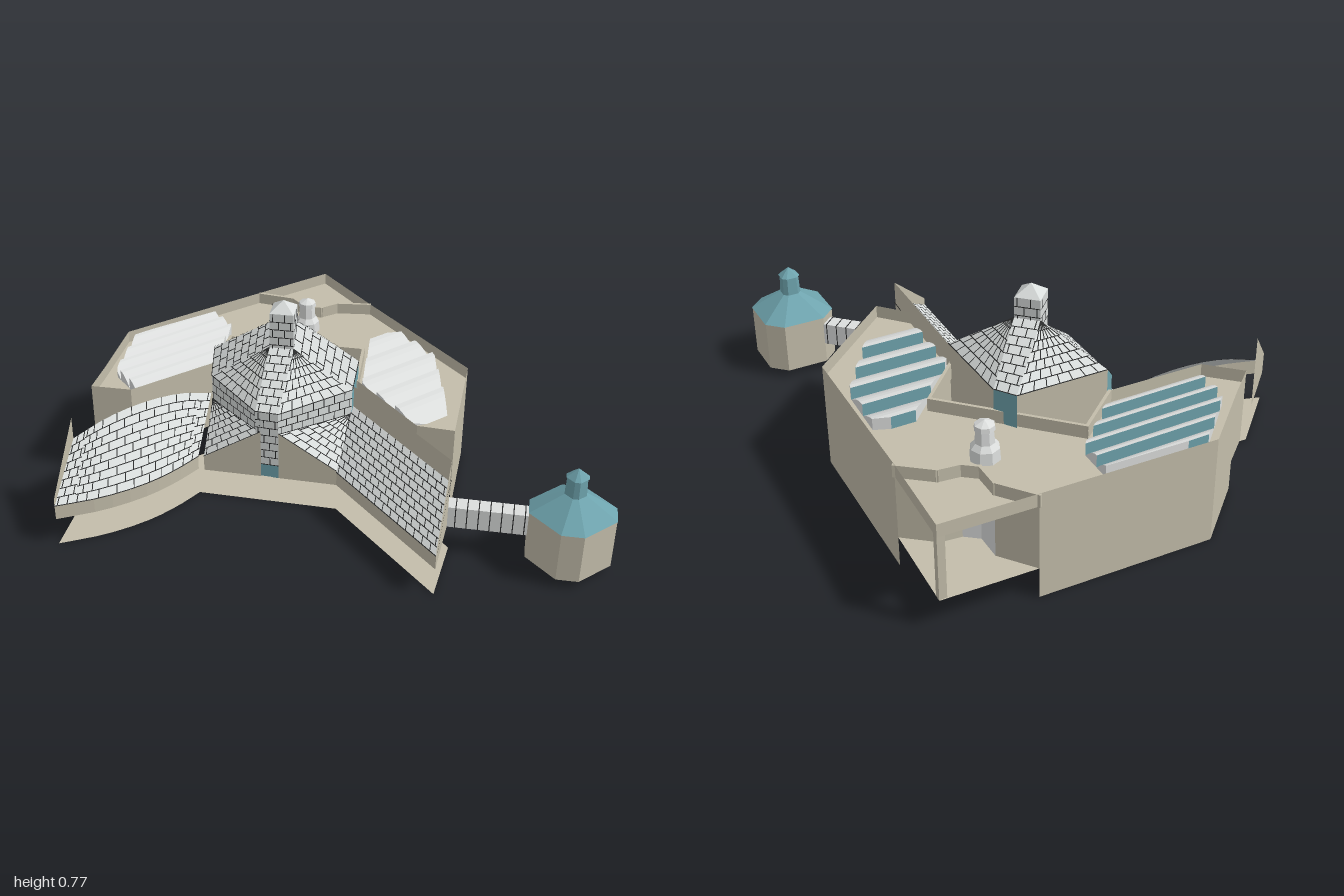
import * as THREE from 'three';

const mat = (name, color) => {
  const m = new THREE.MeshStandardMaterial({ color, side: THREE.DoubleSide, flatShading: true });
  m.name = name;
  return m;
};
const stone = mat('warm stone', 0xc3bdaa);
const slate = mat('pale tile', 0xd9dddc);
const joint = mat('dark joint', 0x2a2b2b);
const teal = mat('teal copper', 0x6ea3ad);
const white = mat('white metal', 0xdcdedd);

const V = (x, y, z) => new THREE.Vector3(x, y, z);
const xz = (p) => [p.x, p.z];

// Mesh made of four-cornered faces (corners counter-clockwise from outside)
function quads(list, material, name) {
  const pos = [];
  for (const [a, b, c, d] of list) for (const p of [a, b, c, a, c, d]) pos.push(p.x, p.y, p.z);
  const g = new THREE.BufferGeometry();
  g.setAttribute('position', new THREE.Float32BufferAttribute(pos, 3));
  g.computeVertexNormals();
  const m = new THREE.Mesh(g, material);
  m.name = name;
  return m;
}

// Horizontal plate from [x, z] corners
function plate(pts, y, material, name) {
  const s = new THREE.Shape(pts.map(([x, z]) => new THREE.Vector2(x, -z)));
  const m = new THREE.Mesh(new THREE.ShapeGeometry(s).rotateX(-Math.PI / 2), material);
  m.position.y = y;
  m.name = name;
  return m;
}

// Vertical wall between two [x, z] points; the top may slope
const wall = (p, q, y0, y1, y2 = y1) =>
  [V(p[0], y0, p[1]), V(q[0], y0, q[1]), V(q[0], y2, q[1]), V(p[0], y1, p[1])];

// Box-shaped beam between two [x, z] points
function beam(p, q, y0, y1, depth, material, name) {
  const m = new THREE.Mesh(new THREE.BoxGeometry(Math.hypot(q[0] - p[0], q[1] - p[1]) + depth, y1 - y0, depth), material);
  m.position.set((p[0] + q[0]) / 2, (y0 + y1) / 2, (p[1] + q[1]) / 2);
  m.rotation.y = -Math.atan2(q[1] - p[1], q[0] - p[0]);
  m.name = name;
  return m;
}

// Tiled faces with thin dark joints laid just above them
function tiled(faces, name) {
  const group = new THREE.Group(), cells = [], lines = [], n = 4;
  group.name = name;
  for (const [a, b, c, d] of faces) {
    const P = (u, v) => a.clone().lerp(b, u).lerp(d.clone().lerp(c, u), v);
    const normal = (u, v) => {
      const w = Math.min(v, 0.9);
      return P(1, w).sub(P(0, w)).cross(P(u, 1).sub(P(u, 0))).normalize();
    };
    const strip = (u0, v0, u1, v1) => {
      const p = P(u0, v0).addScaledVector(normal(u0, v0), 0.0025), q = P(u1, v1).addScaledVector(normal(u1, v1), 0.0025);
      const side = q.clone().sub(p).cross(normal(u0, v0));
      if (side.lengthSq() < 1e-10) return;
      side.setLength(0.0018);
      lines.push([p.clone().add(side), q.clone().add(side), q.clone().sub(side), p.clone().sub(side)]);
    };
    for (let i = 0; i < n * n; i++) {
      const u = (i % n) / n, v = Math.floor(i / n) / n, s = 1 / n;
      cells.push([P(u, v), P(u + s, v), P(u + s, v + s), P(u, v + s)]);
    }
    const nu = Math.max(1, Math.round(Math.max(a.distanceTo(b), d.distanceTo(c)) / 0.05));
    const nv = Math.max(2, Math.round(P(0.5, 0).distanceTo(P(0.5, 1)) / 0.036));
    for (let j = 0; j < nv; j++) {
      for (let i = 0; i < nu; i++) {
        const u = (i + (j % 2 ? 0.75 : 0.25)) / nu;
        strip(i / nu, j / nv, (i + 1) / nu, j / nv);
        strip(u, j / nv, u, (j + 1) / nv);
      }
    }
  }
  group.add(quads(cells, slate, name + 'Tiles'), quads(lines, joint, name + 'Joints'));
  return group;
}

// Loft through chamfered-square rings [halfWidth, y]
function chamferedTower(cx, cz, rings, material, name) {
  const loops = rings.map(([r, y]) => {
    const k = r * 0.58;
    return [[r, -k], [r, k], [k, r], [-k, r], [-r, k], [-r, -k], [-k, -r], [k, -r]].map(([x, z]) => V(cx + x, y, cz + z));
  });
  const list = [];
  for (let j = 0; j + 1 < loops.length; j++) {
    for (let i = 0; i < 8; i++) list.push([loops[j][(i + 1) % 8], loops[j][i], loops[j + 1][i], loops[j + 1][(i + 1) % 8]]);
  }
  return quads(list, material, name);
}

// Sawtooth skylight clipped to a convex outline, glazed toward the back
function skylight(outline, teeth, name) {
  const span = (z) => {
    const xs = [];
    outline.forEach(([x0, z0], i) => {
      const [x1, z1] = outline[(i + 1) % outline.length];
      if (z >= Math.min(z0, z1) && z <= Math.max(z0, z1) && z0 !== z1) xs.push(x0 + (x1 - x0) * (z - z0) / (z1 - z0));
    });
    return [Math.min(...xs), Math.max(...xs)];
  };
  const zs = outline.map((p) => p[1]);
  const z0 = Math.min(...zs) + 0.003, z1 = Math.max(...zs) - 0.003, step = (z1 - z0) / teeth;
  const glass = [], shell = [], base = 0.373, rise = 0.048, n = 5;
  for (let t = 0; t < teeth; t++) {
    const start = z0 + t * step, [l, r] = span(start);
    glass.push(wall([r, start], [l, start], base, base + rise));
    for (let i = 0; i < n; i++) {
      const [za, zb] = [i, i + 1].map((k) => Math.min(start + step * k / n, z1));
      const [ya, yb] = [i, i + 1].map((k) => base + rise * Math.cos(Math.PI / 2 * k / n));
      const [la, ra] = span(za), [lb, rb] = span(zb);
      shell.push([V(lb, yb, zb), V(rb, yb, zb), V(ra, ya, za), V(la, ya, za)]);
      shell.push(wall([la, za], [lb, zb], base, ya, yb), wall([rb, zb], [ra, za], base, yb, ya));
    }
  }
  const g = new THREE.Group();
  g.name = name;
  g.add(quads(shell, white, name + 'Shells'), quads(glass, teal, name + 'Glass'));
  return g;
}

export function createModel() {
  const model = new THREE.Group();

  // Main building: walls, porch lintel, floor, roof and courtyard parapet
  const o = [[0.38, 0.28], [0.475, 0.39], [0.825, 0.065], [0.84, -0.61], [0.855, -0.96], [0.505, -0.975], [-0.16, -1],
    [-0.39, -0.79], [-0.5, -0.695], [-0.385, -0.58], [0, -0.57], [0.18, -0.72], [0.575, -0.31], [0.395, -0.12]];
  const bottoms = [0.12, 0, 0, 0.37, 0.37, 0, 0, 0.12, 0.12, 0.12, 0.12, 0.12, 0.12, 0.12];
  model.add(quads(o.map((p, i) => wall(p, o[(i + 1) % o.length], bottoms[i], 0.42)), stone, 'mainWalls'));
  model.add(plate(o, 0.12, stone, 'mainFloor'), plate(o, 0.37, stone, 'mainRoof'));
  for (let i = 10; i < 13; i++) model.add(beam(o[i], o[i + 1], 0.36, 0.42, 0.012, stone, 'courtParapet'));

  // Corner porch: recessed wall and windows, roof curb and post
  const zig = [[0.505, -0.975], [0.6, -0.85], [0.6, -0.75], [0.65, -0.71], [0.73, -0.7], [0.84, -0.61]];
  for (let i = 0; i < 5; i++) {
    const pane = i === 1 || i === 2;
    model.add(quads([wall(zig[i], zig[i + 1], 0.12, 0.37)], pane ? white : stone, pane ? 'porchWindow' : 'porchWall'));
    model.add(beam(zig[i], zig[i + 1], 0.37, 0.418, 0.012, stone, 'porchCurb'));
  }
  model.add(beam([0.838, -0.945], [0.842, -0.945], 0.12, 0.37, 0.024, stone, 'porchPost'));

  // Skylights and roof vent
  model.add(skylight([[-0.145, -0.965], [0.245, -0.95], [0.24, -0.805], [0, -0.58], [-0.35, -0.595], [-0.345, -0.77]], 5, 'backSkylight'));
  model.add(skylight([[0.65, -0.36], [0.8, -0.355], [0.79, -0.105], [0.57, 0.24], [0.4, 0.235], [0.405, -0.1]], 5, 'sideSkylight'));
  const vent = new THREE.Mesh(new THREE.LatheGeometry(
    [[0.055, 0.37], [0.052, 0.415], [0.036, 0.435], [0.032, 0.485], [0.038, 0.486], [0.036, 0.503], [0, 0.52]]
      .map(([r, y]) => new THREE.Vector2(r, y)), 8), white);
  vent.position.set(0.533, 0, -0.655);
  vent.name = 'roofVent';
  model.add(vent);

  // Central hall, mirrored across the diagonal axis
  const mirror = (p) => {
    const k = 2 * ((p.x - 0.17) * 0.689 + (p.z + 0.31) * 0.725);
    return V(p.x - k * 0.689, p.y, p.z - k * 0.725);
  };
  const both = (faces) => [...faces, ...faces.map(([a, b, c, d]) => [b, a, d, c].map(mirror))];
  const P1 = V(-0.07, 0.42, -0.16), P2 = V(-0.01, 0.42, -0.09), F0 = V(0.335, 0.42, -0.07), D = V(0.41, 0.5, -0.13);
  const E = V(0.41, 0.5, -0.48), E2 = V(0.36, 0.5, -0.555), D2 = mirror(D), G = mirror(F0), B = V(0.15, 0.185, 0.08);
  const L = V(0.1025, 0.58, -0.31), F = V(0.17, 0.58, -0.2425), R = V(0.2375, 0.65, -0.31), K = V(0.17, 0.65, -0.3775);
  const C2 = V(-0.01, 0.33, -0.09), F1 = V(0.335, 0.31, -0.07);
  model.add(tiled([[P1, P2, F, L], [P2, F0, F, F], [F0, D, R, F], [D, E, R, R], [E, E2, K, R], [E2, D2, K, K],
    [D2, G, L, K], [G, P1, L, L]], 'hallRoof'));
  model.add(tiled([...both([[C2, F1, F0, P2], [C2, B, F1, F1]]), wall(xz(P1), xz(P2), 0.18, 0.42)], 'hallFront'));
  model.add(quads(both([wall(xz(C2), xz(B), 0.12, 0.33, 0.185), wall(xz(D), xz(E), 0.12, 0.5)]), stone, 'hallWalls'));
  model.add(quads([...both([wall(xz(F0), xz(D), 0.18, 0.42, 0.5)]), wall(xz(E), xz(E2), 0.12, 0.5),
    wall(xz(P1), xz(P2), 0.12, 0.18)], teal, 'hallGlass'));
  model.add(plate([[-0.225, -0.32], xz(B), o[13], o[12], [0.25, -0.64], [0.17, -0.555], o[10]], 0.121, stone, 'hallFloor'));

  // Chimney turned to the diagonal, with a pointed cap
  const ring = [L, F, R, K], shaft = [], cap = [], tip = V(0.17, 0.77, -0.31);
  ring.forEach((p, i) => {
    const sideFace = wall(xz(p), xz(ring[(i + 1) % 4]), 0.56, 0.73);
    shaft.push(sideFace);
    cap.push([sideFace[3], sideFace[2], tip, tip]);
  });
  model.add(tiled(shaft, 'chimney'), quads(cap, slate, 'chimneyCap'));

  // Curved wing: bowed eave and sloping tiled roof
  const eave = new THREE.CatmullRomCurve3([V(-0.86, 0.18, -0.355), V(-0.68, 0.18, -0.302), V(-0.5, 0.18, -0.285),
    V(-0.36, 0.18, -0.3), V(-0.235, 0.18, -0.33)]).getPoints(10);
  const ridge = new THREE.CatmullRomCurve3([V(-0.675, 0.325, -0.53), V(-0.53, 0.368, -0.524), V(-0.37, 0.385, -0.518),
    V(-0.2, 0.372, -0.51), V(-0.06, 0.33, -0.5)]).getPoints(10);
  const curved = [], fascia = [wall([-0.675, -0.53], [-0.86, -0.355], 0.12, 0.42, 0.21)];
  for (let i = 0; i < 10; i++) {
    curved.push([eave[i], eave[i + 1], ridge[i + 1], ridge[i]]);
    fascia.push(wall(xz(eave[i]), xz(eave[i + 1]), 0.12, 0.18));
  }
  model.add(tiled(curved, 'curvedWingRoof'), quads(fascia, stone, 'curvedWingWalls'));

  // Straight wing: mono-pitch roof against a tall wall, with a dark flashing line
  const tipA = [0.13, 0.71], tipB = [0.335, 0.535], inner = [0.358, -0.1];
  model.add(tiled([[V(0.15, 0.18, 0.08), V(0.13, 0.18, 0.71), V(0.33, 0.33, 0.53), V(0.355, 0.33, -0.1)]], 'straightWingRoof'));
  model.add(quads([wall([0.15, 0.08], tipA, 0.12, 0.18), wall(tipA, tipB, 0.12, 0.21, 0.42),
    wall(tipB, inner, 0.12, 0.42)], stone, 'straightWingWalls'));
  model.add(quads([[V(0.132, 0.187, 0.713), V(0.262, 0.305, 0.602), V(0.262, 0.311, 0.602), V(0.132, 0.193, 0.713)],
    wall([0.262, 0.602], [0.338, 0.537], 0.323, 0.329), wall([0.338, 0.537], [0.35, 0.39], 0.326, 0.332)], joint, 'flashing'));

  // Ground plate under the wings and hall
  model.add(plate([...eave.map(xz), [0.15, 0.08], tipA, [0.355, 0.53], [0.39, -0.1], [0.54, -0.28], [0.54, -0.45],
    [0.31, -0.68], [0.25, -0.625], [0.17, -0.555], [0, -0.555], [-0.63, -0.57]], 0.003, stone, 'groundPlate'));

  // Bridge with upright slats
  const from = [0.345, 0.505], to = [0.57, 0.735];
  model.add(beam(from, to, 0.12, 0.21, 0.066, white, 'bridge'));
  for (let i = 0; i < 8; i++) {
    const slat = new THREE.Mesh(new THREE.BoxGeometry(0.004, 0.092, 0.07), joint);
    slat.position.set(from[0] + i * 0.03, 0.165, from[1] + i * 0.031);
    slat.rotation.y = -Math.PI / 4;
    slat.name = 'bridgeSlat';
    model.add(slat);
  }

  // Detached turret
  model.add(chamferedTower(0.67, 0.85, [[0.001, 0.035], [0.143, 0.035], [0.143, 0.24]], stone, 'turretBody'));
  model.add(chamferedTower(0.67, 0.85, [[0.145, 0.24], [0.036, 0.32], [0.033, 0.395], [0.038, 0.395], [0.001, 0.43]], teal, 'turretRoof'));
  return model;
}
